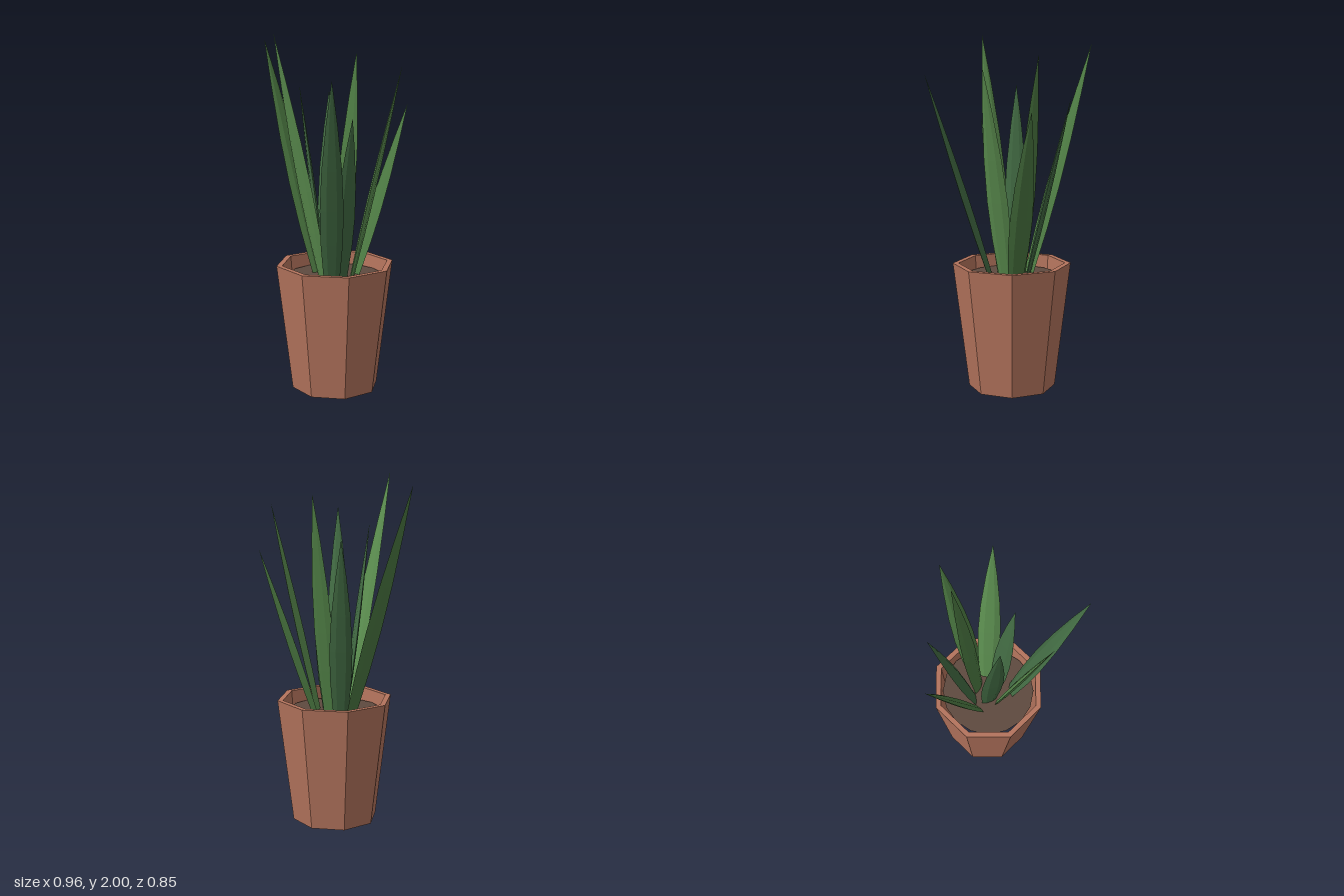
import * as THREE from 'three';

const mat = (name, color, side = THREE.FrontSide) => {
  const m = new THREE.MeshStandardMaterial({ color, flatShading: true, side });
  m.name = name;
  return m;
};

// Tapered six-sided blade, straight from its base to its tip
function leafGeometry(base, tip) {
  const axis = tip.clone().sub(base).normalize();
  const u = axis.clone().cross(new THREE.Vector3(0, 1, 0)).normalize();
  const n = axis.clone().cross(u);
  const section = [[1, 0], [0.45, 0.2], [-0.45, 0.2], [-1, 0], [-0.45, -0.2], [0.45, -0.2]];
  const rings = [[0, 0.043], [0.2, 0.06], [0.38, 0.064], [0.58, 0.054], [0.8, 0.03], [1, 0.0008]];
  const pos = [], index = [], N = section.length;
  for (const [t, w] of rings) {
    const c = base.clone().lerp(tip, t);
    for (const [a, b] of section) {
      const p = c.clone().addScaledVector(u, a * w).addScaledVector(n, b * w);
      pos.push(p.x, p.y, p.z);
    }
  }
  for (let r = 0; r < rings.length - 1; r++) {
    for (let i = 0; i < N; i++) {
      const a = r * N + i, b = r * N + (i + 1) % N;
      index.push(a, b, b + N, a, b + N, a + N);
    }
  }
  const g = new THREE.BufferGeometry();
  g.setAttribute('position', new THREE.Float32BufferAttribute(pos, 3));
  g.setIndex(index);
  g.computeVertexNormals();
  return g;
}

export function createModel() {
  const group = new THREE.Group();
  group.name = 'pottedPlant';
  const terracotta = mat('terracotta', 0xb4745d, THREE.DoubleSide);
  const earth = mat('earth', 0x5e4a3f, THREE.DoubleSide);
  const light = mat('lightGreen', 0x5c8f50);
  const mid = mat('midGreen', 0x4d7b43);
  const dark = mat('darkGreen', 0x426b43);

  const add = (name, geometry, material) => {
    const mesh = new THREE.Mesh(geometry, material);
    mesh.name = name;
    group.add(mesh);
    return mesh;
  };

  // Octagonal pot, open below: outer wall, rim, inner wall
  const profile = [[0.247, 0], [0.3355, 0.72], [0.303, 0.72], [0.2465, 0]].map(([x, y]) => new THREE.Vector2(x, y));
  add('pot', new THREE.LatheGeometry(profile, 8, Math.PI / 8), terracotta).position.set(0.071, 0, 0.022);

  // Soil disc set below the rim
  const soil = add('soil', new THREE.CircleGeometry(0.271, 16), earth);
  soil.rotation.x = -Math.PI / 2;
  soil.position.set(0.071, 0.65, 0.022);

  // Leaves: base x, base z, tip x, y, z
  const leaves = [
    ['frontLeaf', light, 0.08, 0.11, 0.088, 2.0, 0.425],
    ['frontLeftLeaf', dark, 0.17, 0.115, 0.475, 1.78, 0.33],
    ['backLeftLeaf', light, 0.135, -0.05, 0.34, 1.83, -0.228],
    ['backLeaf', mid, 0.1, -0.1, 0.145, 1.6, -0.428],
    ['backRightLeaf', dark, -0.02, 0.0, -0.22, 1.66, -0.14],
    ['rightLeaf', mid, -0.05, 0.055, -0.48, 1.95, 0.133],
    ['innerBackLeaf', mid, 0.045, -0.03, -0.005, 1.89, -0.178],
    ['innerLeftLeaf', dark, 0.13, 0.025, 0.248, 1.55, 0.033],
    ['innerFrontLeaf', dark, 0.03, 0.07, -0.03, 1.72, 0.19],
  ];
  for (const [name, material, bx, bz, x, y, z] of leaves) {
    add(name, leafGeometry(new THREE.Vector3(bx, 0.645, bz), new THREE.Vector3(x, y, z)), material);
  }
  return group;
}
